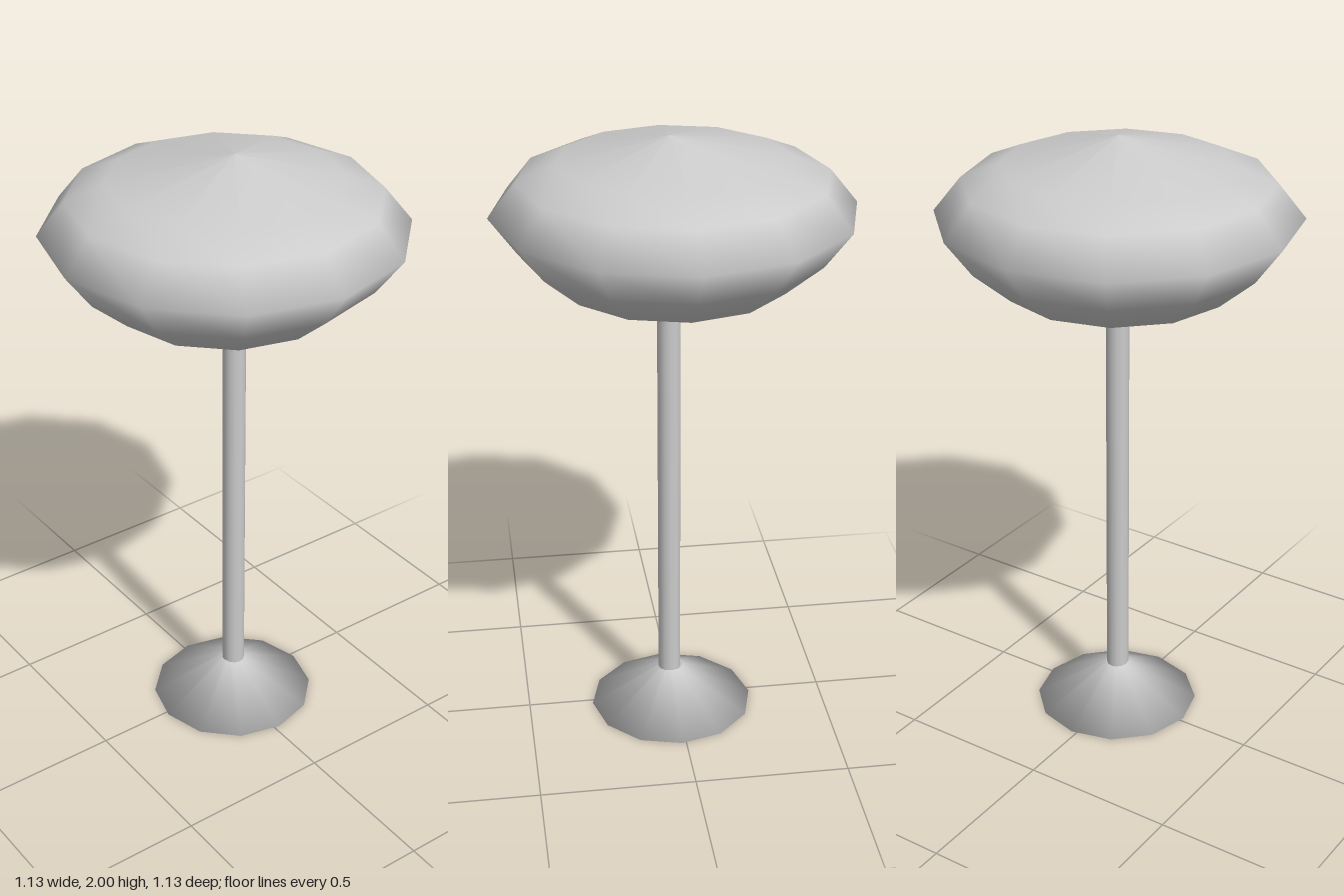
import * as THREE from 'three';

const material = new THREE.MeshStandardMaterial({ color: 0xcccccc, side: THREE.DoubleSide });

// Smooth turned part; profile runs from bottom to top as [radius, height]
function turned(name, profile, segments) {
  const points = profile.map(([r, y]) => new THREE.Vector2(r, y));
  const mesh = new THREE.Mesh(new THREE.LatheGeometry(points, segments), material);
  mesh.name = name;
  return mesh;
}

export function createModel() {
  const group = new THREE.Group();
  group.name = 'lamp';
  const axisX = 0.02, axisZ = -0.018;

  // Flared foot with closed underside
  const base = turned('base', [[0, 0], [0.271, 0], [0.038, 0.135]], 12);
  base.position.set(0.014, 0, axisZ);

  // Slim post
  const stem = turned('stem', [[0.037, 0.13], [0.037, 1.475]], 12);
  stem.position.set(axisX, 0, axisZ);

  // Faceted, flattened shade
  const shade = turned('shade', [
    [0, 1.455], [0.36, 1.54], [0.48, 1.643], [0.566, 1.76],
    [0.48, 1.867], [0.36, 1.918], [0, 2],
  ], 12);

  // Lean the poles of the shade over towards the post, keeping its rim centred
  const pos = shade.geometry.attributes.position;
  for (let i = 0; i < pos.count; i++) {
    const k = Math.max(0, 1 - Math.hypot(pos.getX(i), pos.getZ(i)) / 0.36);
    pos.setX(i, pos.getX(i) + axisX * k);
    pos.setZ(i, pos.getZ(i) + axisZ * k);
  }

  group.add(base, stem, shade);
  return group;
}
